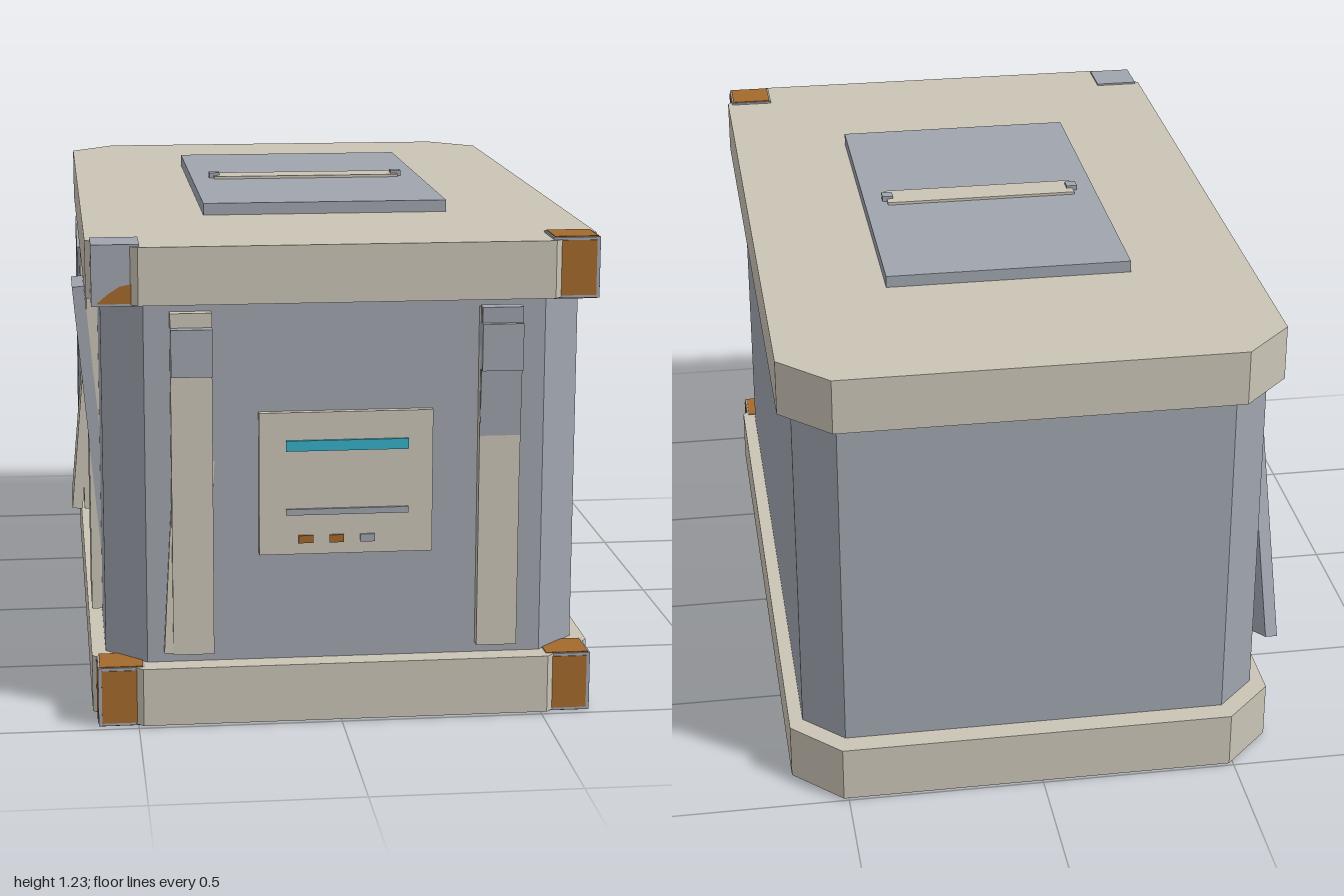
import * as THREE from 'three';

const mat = (name, color) => Object.assign(new THREE.MeshStandardMaterial({ color }), { name });

export function createModel() {
  const cream = mat('cream', 0xc9c4b5);
  const grey = mat('blue grey', 0xa0a5ae);
  const orange = mat('burnt orange', 0xa4692d);
  const cyan = mat('cyan', 0x35b0c8);

  const model = new THREE.Group();
  model.name = 'storageCrate';
  const CX = 0.0125; // centre line of the crate

  const add = (name, geometry, material, parent = model) => {
    const mesh = new THREE.Mesh(geometry, material);
    mesh.name = name;
    parent.add(mesh);
    return mesh;
  };

  // Box given by its limits on each axis
  const box = (name, material, [x0, x1], [y0, y1], [z0, z1], parent) => {
    const mesh = add(name, new THREE.BoxGeometry(x1 - x0, y1 - y0, z1 - z0), material, parent);
    mesh.position.set((x0 + x1) / 2, (y0 + y1) / 2, (z0 + z1) / 2);
    return mesh;
  };

  // Upright prism with four chamfered corners
  const prism = (name, material, hw, hd, cut, y0, y1) => {
    const pts = [
      [hw, -hd + cut], [hw, hd - cut], [hw - cut, hd], [-hw + cut, hd],
      [-hw, hd - cut], [-hw, -hd + cut], [-hw + cut, -hd], [hw - cut, -hd],
    ].map(([x, y]) => new THREE.Vector2(x, y));
    const geo = new THREE.ExtrudeGeometry(new THREE.Shape(pts), { depth: y1 - y0, bevelEnabled: false });
    geo.rotateX(-Math.PI / 2);
    add(name, geo, material).position.set(CX, y0, 0);
  };

  // Shell
  prism('body', grey, 0.5875, 0.942, 0.1, 0.14, 1.06);
  prism('baseRim', cream, 0.6225, 0.998, 0.122, 0.005, 0.15);
  prism('lidRim', cream, 0.6225, 0.998, 0.122, 1.05, 1.19);

  // Corner guards on the front: grey core, orange faces slightly proud
  for (const side of [-1, 1]) {
    for (const top of [false, true]) {
      const guard = new THREE.Group();
      guard.name = 'cornerGuard';
      guard.position.set(CX + side * 0.553, top ? 1.121 : 0.076, 0.923);
      model.add(guard);
      add('guardCore', new THREE.BoxGeometry(0.115, 0.148, 0.115), grey, guard);
      if (top && side < 0) {
        // worn guard with a remnant of paint on its lower front
        const chip = new THREE.Shape([[-0.046, -0.068], [0.042, -0.068], [0.042, -0.02], [0.01, -0.026], [-0.02, -0.045]]
          .map(([x, y]) => new THREE.Vector2(x, y)));
        add('paintChip', new THREE.ShapeGeometry(chip), orange, guard).position.z = 0.059;
        continue;
      }
      add('guardFrontFace', new THREE.BoxGeometry(0.098, 0.134, 0.119), orange, guard);
      add('guardSideFace', new THREE.BoxGeometry(0.119, 0.134, 0.098), orange, guard);
      add('guardEndFace', new THREE.BoxGeometry(0.106, 0.152, 0.106), orange, guard);
    }
  }

  // Lid hatch with handle
  box('hatch', grey, [-0.3, 0.325], [1.185, 1.22], [-0.5, 0.5]);
  box('handle', cream, [-0.24, 0.265], [1.215, 1.227], [-0.042, 0.042]);
  for (const side of [-1, 1]) {
    const x = CX + side * 0.25;
    box('handleBolt', grey, [x - 0.014, x + 0.014], [1.215, 1.234], [-0.015, 0.015]);
  }

  // Control panel
  box('controlPanel', cream, [-0.2, 0.225], [0.42, 0.775], [0.93, 0.96]);
  box('displayStrip', cyan, [-0.135, 0.165], [0.68, 0.706], [0.958, 0.967]);
  box('slot', grey, [-0.135, 0.165], [0.52, 0.535], [0.958, 0.967]);
  [orange, orange, grey].forEach((m, i) => {
    const x = -0.086 + i * 0.0755;
    box('button', m, [x - 0.018, x + 0.018], [0.449, 0.468], [0.958, 0.966]);
  });

  // Front straps with buckles
  for (const side of [-1, 1]) {
    const x = CX + side * 0.375;
    box('frontStrap', cream, [x - 0.05, x + 0.05], [0.175, 1.025], [0.93, 0.97]);
    box('frontBuckle', grey, [x - 0.05, x + 0.05], [0.875, 0.99], [0.95, 0.998]);
  }
  const skewed = box('looseFrontStrap', cream, [-0.41, -0.31], [0.175, 1.025], [0.915, 0.945]);
  skewed.rotation.set(-0.055, 0, -0.058);
  const tongue = box('frontStrapTongue', grey, [0.3385, 0.4385], [0.175, 1.03], [0.935, 0.965]);
  tongue.rotation.x = 0.047;

  // Right side straps, each with a loose second layer
  for (const z of [-0.5, 0.49]) {
    const range = [z - 0.08, z + 0.08];
    box('sideStrap', cream, [-0.602, -0.56], [0.175, 1.025], range);
    const loose = box('looseSideStrap', z > 0 ? grey : cream, [-0.6, -0.57], [0.175, 1.025], range);
    loose.rotation.z = z > 0 ? 0.09 : -0.09;
  }
  // Fallen strap leaning backwards
  const fallen = box('fallenStrap', grey, [-0.61, -0.58], [0.278, 1.028], [-0.792, -0.632]);
  fallen.rotation.x = 0.45;

  return model;
}
